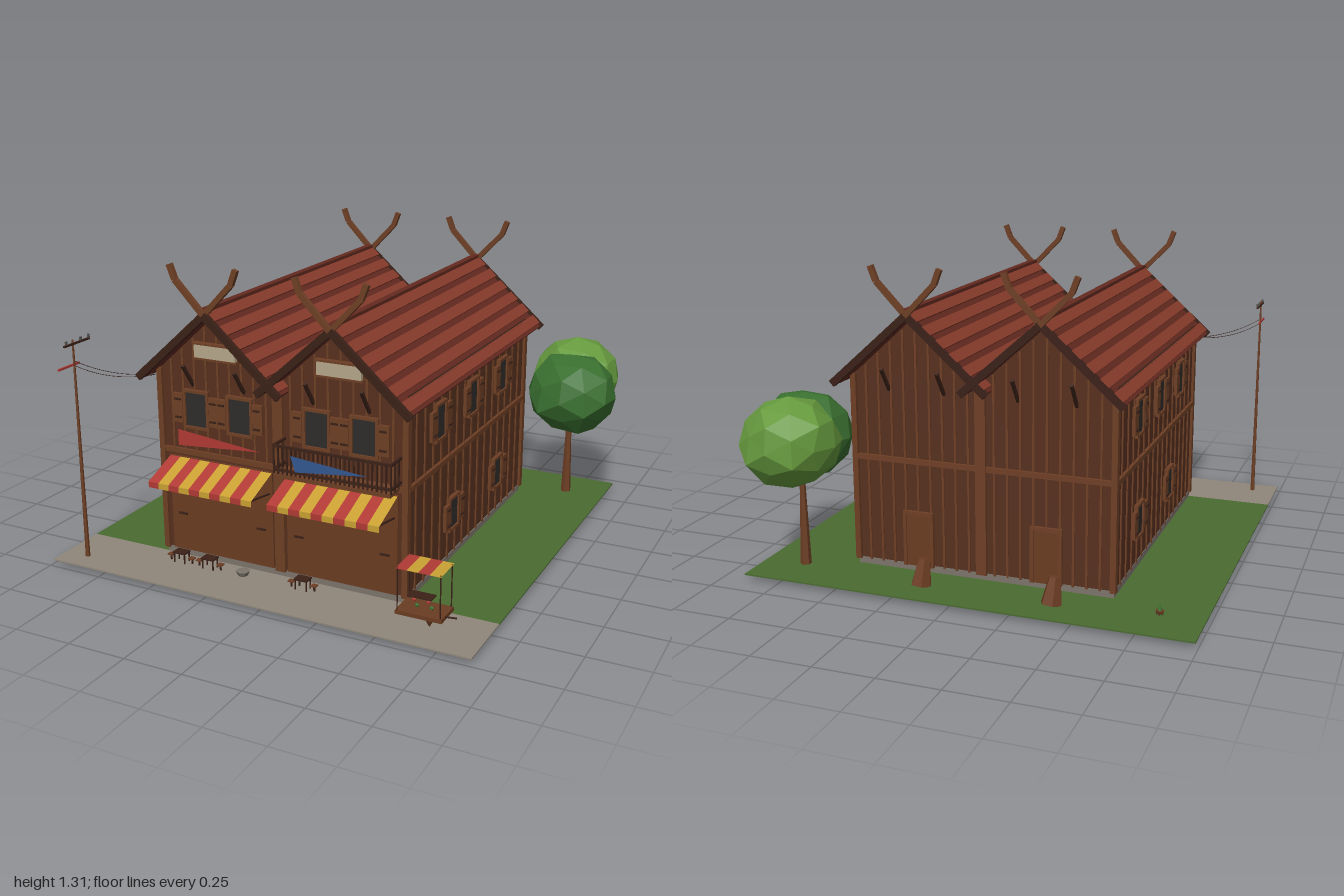
import * as THREE from 'three';

const C = { wall: 0x57301f, trim: 0x6e3f25, dark: 0x3b2118, shop: 0x6b3c22, roof: 0x8a3d2c, roofDark: 0x642a20,
  red: 0xb03a34, yellow: 0xc9a032, glass: 0x2e2c2b, stone: 0x7c746b, grass: 0x4a6b30, pave: 0x8f877a,
  cream: 0xb5a68a, blue: 0x34578f, leaf: 0x3a7030, leafLight: 0x669a3e, metal: 0x55504b };
const mats = {};
const mat = (c) => mats[c] ??= new THREE.MeshStandardMaterial({ color: C[c], flatShading: true, side: THREE.DoubleSide });
const V = (x, y, z) => new THREE.Vector3(x, y, z);

function add(parent, name, geo, color, x = 0, y = 0, z = 0) {
  const m = new THREE.Mesh(geo, mat(color));
  m.name = name;
  m.position.set(x, y, z);
  parent.add(m);
  return m;
}
const box = (p, name, color, w, h, d, x, y, z) => add(p, name, new THREE.BoxGeometry(w, h, d), color, x, y, z);
function group(parent, name, x = 0, y = 0, z = 0, ry = 0) {
  const g = new THREE.Group();
  g.name = name;
  g.position.set(x, y, z);
  g.rotation.y = ry;
  parent.add(g);
  return g;
}
// square bar between two points
function bar(parent, name, color, a, b, w, d = w) {
  const m = box(parent, name, color, w, a.distanceTo(b), d, 0, 0, 0);
  m.position.copy(a).lerp(b, 0.5);
  m.quaternion.setFromUnitVectors(V(0, 1, 0), b.clone().sub(a).normalize());
  return m;
}
// flat sheet from corner points in order
function sheet(parent, name, color, pts) {
  const g = new THREE.BufferGeometry().setFromPoints(pts);
  g.setIndex(pts.length === 3 ? [0, 1, 2] : [0, 1, 2, 0, 2, 3]);
  g.computeVertexNormals();
  return add(parent, name, g, color);
}
function stripedAwning(parent, name, x0, x1, n, profile) {
  const g = group(parent, name), w = (x1 - x0) / n;
  for (let i = 0; i < n; i++) for (let k = 0; k + 1 < profile.length; k++) {
    const [z0, y0] = profile[k], [z1, y1] = profile[k + 1], a = x0 + i * w, b = a + w;
    sheet(g, 'stripe', i % 2 ? 'yellow' : 'red', [V(a, y0, z0), V(a, y1, z1), V(b, y1, z1), V(b, y0, z0)]);
  }
}
// window facing local +z, with open shutters
function shutterWindow(parent, x, y, z, ry, w, h) {
  const g = group(parent, 'window', x, y, z, ry);
  box(g, 'glass', 'glass', w, h, 0.012, 0, 0, 0.004);
  for (const s of [-1, 1]) {
    box(g, 'frameSide', 'trim', 0.012, h + 0.012, 0.024, s * w / 2, 0, 0.006);
    box(g, 'frameRail', 'trim', w + 0.012, 0.012, 0.024, 0, s * h / 2, 0.006);
    box(g, 'shutter', 'trim', 0.045, h * 0.8, 0.014, s * (w / 2 + 0.03), 0, 0.012);
    for (const t of [-1, 1]) box(g, 'hinge', 'dark', 0.03, 0.008, 0.006, s * (w / 2 + 0.028), t * h * 0.25, 0.021);
  }
}

const X0 = -0.6, X1 = 0.51, XM = -0.045, Z0 = -0.62, Z1 = 0.7, ZC = 0.04;
const CENTRES = [-0.3225, 0.2325];
const gableTop = (x) => 1.1 - 0.91 * Math.min(...CENTRES.map((c) => Math.abs(x - c)));

function buildWalls(p) {
  box(p, 'foundation', 'stone', X1 - X0 + 0.005, 0.03, Z1 - Z0 + 0.005, XM, 0.04, ZC);
  const [a, b] = CENTRES, s = new THREE.Shape();
  [[X0, 0.05], [X1, 0.05], [X1, gableTop(X1)], [b, 1.1], [XM, gableTop(XM)], [a, 1.1], [X0, gableTop(X0)]]
    .forEach(([x, y], i) => (i ? s.lineTo(x, y) : s.moveTo(x, y)));
  add(p, 'walls', new THREE.ExtrudeGeometry(s, { depth: Z1 - Z0, bevelEnabled: false }), 'wall', 0, 0, Z0);
  // belt beams and corner posts
  for (const z of [Z0, Z1]) {
    box(p, 'beltBeam', 'trim', X1 - X0 + 0.02, 0.022, 0.026, XM, 0.5, z);
    for (const x of [X0, XM, X1]) box(p, 'post', 'trim', x === XM ? 0.045 : 0.024, 0.8, 0.03, x, 0.45, z);
  }
  for (const x of [X0, X1]) {
    box(p, 'beltBeam', 'trim', 0.026, 0.022, Z1 - Z0, x, 0.5, ZC);
    box(p, 'eaveBeam', 'dark', 0.03, 0.03, Z1 - Z0, x, 0.86, ZC);
    for (let i = 1; i < 16; i++) box(p, 'batten', 'trim', 0.012, 0.81, 0.009, x, 0.455, Z0 + i * (Z1 - Z0) / 16);
  }
  // battens up into the gables
  for (let i = 1; i < 20; i++) {
    const x = X0 + i * (X1 - X0) / 20, top = gableTop(x) - 0.01;
    if (i === 10) continue;
    box(p, 'frontBatten', 'trim', 0.009, top - 0.5, 0.012, x, (top + 0.5) / 2, Z1);
    box(p, 'backBatten', 'trim', 0.009, top - 0.05, 0.012, x, (top + 0.05) / 2, Z0);
  }
  // side windows
  for (const [x, ry] of [[X0, -Math.PI / 2], [X1, Math.PI / 2]]) {
    for (const z of [0.4, 0.045, -0.31]) shutterWindow(p, x, 0.69, z, ry, 0.095, 0.15);
    for (const z of [0.24, -0.28]) shutterWindow(p, x, 0.24, z, ry, 0.095, 0.14);
  }
}

function buildBay(p, cx) {
  // shopfront, upper windows and gable sign
  box(p, 'shopPanel', 'shop', 0.49, 0.42, 0.016, cx, 0.265, Z1);
  for (const s of [-1, 1]) {
    shutterWindow(p, cx + s * 0.103, 0.69, Z1, 0, 0.11, 0.155);
    box(p, 'doorHandle', 'dark', 0.04, 0.008, 0.01, cx + s * 0.19, 0.22, Z1 + 0.01);
    for (const [z, d] of [[Z1, 1], [Z0, -1]])
      bar(p, 'eaveBracket', 'dark', V(cx + s * 0.12, 0.79, z), V(cx + s * 0.12, 0.89, z + d * 0.07), 0.012);
  }
  box(p, 'signBoard', 'cream', 0.19, 0.055, 0.02, cx, 0.945, Z1 + 0.014);
  for (const s of [-1, 1]) box(p, 'signFrame', 'trim', 0.205, 0.008, 0.026, cx, 0.945 + s * 0.031, Z1 + 0.014);
  stripedAwning(p, 'awning', cx - 0.243, cx + 0.243, 10, [[0.7, 0.475], [0.87, 0.41], [0.87, 0.385]]);
  for (const s of [-1, 1]) bar(p, 'awningArm', 'dark', V(cx + s * 0.23, 0.38, 0.7), V(cx + s * 0.23, 0.405, 0.865), 0.006);
  // back door with a sack beside it
  box(p, 'backDoor', 'shop', 0.11, 0.22, 0.02, cx, 0.16, Z0);
  for (const s of [-1, 1]) box(p, 'doorJamb', 'trim', 0.014, 0.235, 0.03, cx + s * 0.06, 0.167, Z0);
  box(p, 'doorHead', 'trim', 0.134, 0.014, 0.03, cx, 0.28, Z0);
  const sack = add(p, 'sack', new THREE.CylinderGeometry(0.025, 0.045, 0.11, 6), 'shop', cx - 0.07, 0.08, -0.745);
  sack.rotation.set(0.15, 0.4, 0.08);
}

function buildRoof(p, cx) {
  for (const s of [-1, 1]) {
    const g = group(p, 'roofSlope', cx, 1.13, ZC);
    g.rotation.set(0, s < 0 ? Math.PI : 0, -0.738);
    box(g, 'roofDeck', 'roofDark', 0.446, 0.018, 1.48, 0.223, -0.012, 0);
    for (let i = 0; i < 6; i++) box(g, 'roofPlank', 'roof', 0.047, 0.014, 1.48, 0.035 + i * 0.0745, 0.001, 0);
    // crossed barge boards with upturned horns
    for (const [z, d] of [[0.785, 1], [-0.705, -1]]) {
      const zz = z + d * s * 0.004;
      const pts = [V(cx + s * 0.33, 0.82, zz), V(cx, 1.115, zz), V(cx - s * 0.125, 1.245, zz), V(cx - s * 0.148, 1.305, zz)];
      pts.slice(1).forEach((q, i) => bar(p, i ? 'roofHorn' : 'bargeBoard', i ? 'trim' : 'dark', pts[i], q, i ? 0.022 : 0.03, 0.02));
    }
  }
  box(p, 'ridgeCap', 'roofDark', 0.03, 0.014, 1.48, cx, 1.134, ZC);
}

function buildBalcony(p) {
  const g = group(p, 'balcony'), x0 = -0.02, x1 = 0.485;
  box(g, 'floor', 'trim', x1 - x0, 0.016, 0.1, (x0 + x1) / 2, 0.505, 0.745);
  for (const y of [0.53, 0.628]) {
    box(g, 'rail', 'dark', x1 - x0, 0.01, 0.01, (x0 + x1) / 2, y, 0.79);
    for (const x of [x0, x1]) box(g, 'sideRail', 'dark', 0.01, 0.01, 0.09, x, y, 0.745);
  }
  for (let i = 0; i <= 26; i++) box(g, 'baluster', 'dark', 0.006, 0.12, 0.006, x0 + i * (x1 - x0) / 26, 0.57, 0.79);
  for (const x of [x0, x1]) for (const z of [0.72, 0.755]) box(g, 'baluster', 'dark', 0.006, 0.12, 0.006, x, 0.57, z);
}

function buildTree(p) {
  const g = group(p, 'tree');
  add(g, 'trunk', new THREE.CylinderGeometry(0.01, 0.024, 0.44, 6), 'trim', 0.72, 0.22, -0.71);
  const blobs = [['leaf', 0.765, 0.56, -0.59, 0.21, 1], ['leafLight', 0.72, 0.58, -0.79, 0.21, 2.1]];
  for (const [c, x, y, z, r, seed] of blobs) {
    const geo = new THREE.IcosahedronGeometry(1, 1), a = geo.attributes.position, v = V(0, 0, 0);
    for (let i = 0; i < a.count; i++) {
      v.fromBufferAttribute(a, i);
      v.multiplyScalar(r * (0.97 + 0.07 * Math.sin(5 * v.x + seed) * Math.cos(4 * v.z + 3 * v.y + seed)));
      a.setXYZ(i, v.x, v.y * 0.92, v.z);
    }
    geo.computeVertexNormals();
    add(g, 'foliage', geo, c, x, y, z);
  }
}

function buildPole(p) {
  const g = group(p, 'utilityPole');
  add(g, 'pole', new THREE.CylinderGeometry(0.004, 0.01, 0.955, 6), 'trim', -0.88, 0.5, 0.9);
  box(g, 'upperArm', 'dark', 0.008, 0.008, 0.16, -0.88, 0.96, 0.875);
  box(g, 'lowerArm', 'red', 0.008, 0.008, 0.13, -0.88, 0.875, 0.935);
  for (const z of [0.8, 0.85, 0.94]) box(g, 'insulator', 'metal', 0.008, 0.018, 0.008, -0.88, 0.97, z);
  for (const y of [0.89, 0.87]) {
    const c = new THREE.QuadraticBezierCurve3(V(-0.88, y, 0.9), V(-0.75, y - 0.08, 0.82), V(X0, 0.82, Z1));
    add(g, 'wire', new THREE.TubeGeometry(c, 12, 0.0015, 4), 'dark');
  }
}

function buildCart(p) {
  const g = group(p, 'foodCart');
  stripedAwning(g, 'canopy', 0.555, 0.74, 4, [[0.77, 0.275], [0.9, 0.272]]);
  box(g, 'tray', 'shop', 0.19, 0.016, 0.12, 0.648, 0.09, 0.835);
  for (const x of [0.56, 0.735]) for (const z of [0.78, 0.89]) box(g, 'canopyPost', 'dark', 0.004, 0.19, 0.004, x, 0.18, z);
  add(g, 'stand', new THREE.ConeGeometry(0.033, 0.062, 6), 'shop', 0.67, 0.055, 0.835).rotation.x = Math.PI;
  bar(g, 'handle', 'dark', V(0.735, 0.095, 0.86), V(0.79, 0.1, 0.86), 0.005);
  box(g, 'shelf', 'dark', 0.1, 0.005, 0.05, 0.63, 0.14, 0.82);
  for (let i = 0; i < 4; i++) add(g, 'goods', new THREE.IcosahedronGeometry(0.009), i % 2 ? 'leaf' : 'red', 0.59 + i * 0.03, 0.108, 0.8 + (i % 2) * 0.04);
}

function buildStreetItems(p) {
  // low tables with stools
  for (const [x, z] of [[-0.49, 0.77], [-0.35, 0.77], [0.09, 0.77]]) {
    const g = group(p, 'tableSet', x, 0.027, z);
    box(g, 'tableTop', 'dark', 0.06, 0.006, 0.045, 0, 0.045, 0);
    for (const s of [-1, 1]) {
      for (const t of [-1, 1]) box(g, 'tableLeg', 'dark', 0.005, 0.045, 0.005, s * 0.025, 0.022, t * 0.017);
      box(g, 'stoolSeat', 'trim', 0.024, 0.005, 0.024, s * 0.052, 0.025, 0);
      box(g, 'stoolLeg', 'dark', 0.006, 0.024, 0.006, s * 0.052, 0.012, 0);
    }
  }
  add(p, 'basin', new THREE.CylinderGeometry(0.03, 0.02, 0.02, 7), 'stone', -0.19, 0.038, 0.77);
  add(p, 'shrub', new THREE.ConeGeometry(0.016, 0.05, 5), 'leaf', -0.81, 0.05, -0.71);
  add(p, 'shrubPot', new THREE.CylinderGeometry(0.018, 0.012, 0.02, 6), 'shop', -0.81, 0.035, -0.71);
}

export function createModel() {
  const root = new THREE.Group();
  root.name = 'shopHouses';
  box(root, 'lawn', 'grass', 1.89, 0.006, 1.6, -0.045, 0.024, -0.1);
  box(root, 'pavement', 'pave', 1.89, 0.006, 0.29, -0.045, 0.024, 0.845);
  buildWalls(root);
  for (const cx of CENTRES) {
    buildBay(root, cx);
    buildRoof(root, cx);
  }
  buildBalcony(root);
  // pennants
  sheet(root, 'redPennant', 'red', [V(-0.51, 0.6, 0.725), V(-0.51, 0.53, 0.725), V(-0.12, 0.56, 0.725)]);
  sheet(root, 'bluePennant', 'blue', [V(0.06, 0.6, 0.8), V(0.08, 0.535, 0.8), V(0.39, 0.57, 0.8)]);
  buildTree(root);
  buildPole(root);
  buildCart(root);
  buildStreetItems(root);
  return root;
}
